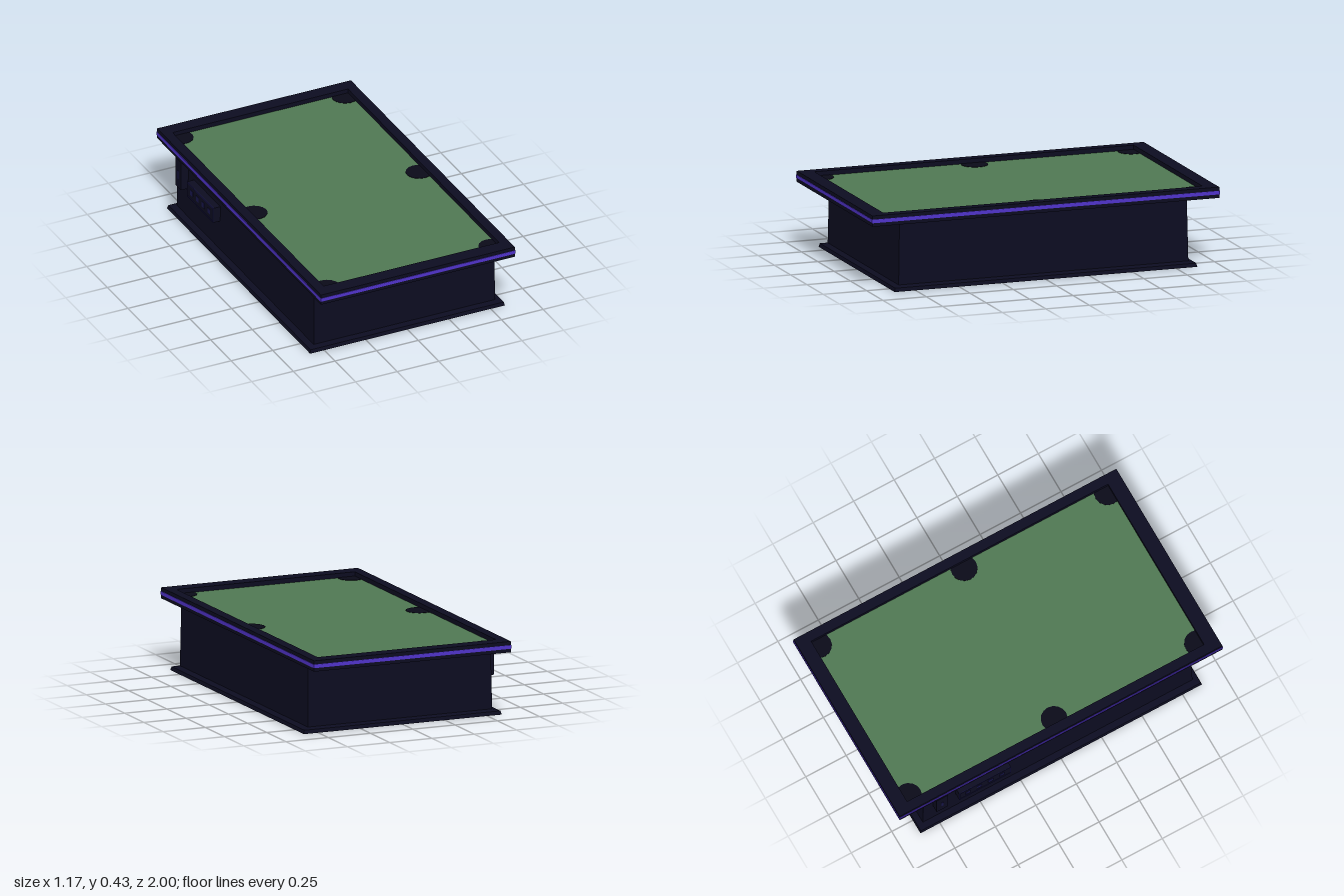
import * as THREE from 'three';

const mat = (name, color, side = THREE.FrontSide) =>
  Object.assign(new THREE.MeshStandardMaterial({ color, side }), { name });

export function createModel() {
  const dark = mat('midnight lacquer', 0x0c0c20);
  const black = mat('pocket black', 0x0a0a18);
  const purple = mat('purple trim', 0x4f32c8);
  const navy = mat('navy trim', 0x17154a);
  const green = mat('green cloth', 0x4f7852);

  const model = new THREE.Group();
  model.name = 'poolTable';
  const add = (name, geometry, material, x = 0, y = 0, z = 0) => {
    const mesh = new THREE.Mesh(geometry, material);
    mesh.name = name;
    mesh.position.set(x, y, z);
    model.add(mesh);
    return mesh;
  };
  const box = (name, material, w, h, d, x, y, z) =>
    add(name, new THREE.BoxGeometry(w, h, d), material, x, y, z);

  // Box from y0 to y1 whose half sizes differ at bottom and top
  const taperedBox = (name, material, y0, y1, bottom, top) => {
    const g = new THREE.BoxGeometry(2, 2, 2);
    const p = g.attributes.position;
    for (let i = 0; i < p.count; i++) {
      const up = p.getY(i) > 0;
      const [hx, hz] = up ? top : bottom;
      p.setXYZ(i, p.getX(i) * hx, up ? y1 : y0, p.getZ(i) * hz);
    }
    const flat = g.toNonIndexed();
    flat.computeVertexNormals();
    return add(name, flat, material);
  };

  // Plinth and cabinet
  taperedBox('plinth', dark, 0, 0.02, [0.585, 0.87], [0.58, 0.865]);
  taperedBox('plinthBevel', dark, 0.02, 0.028, [0.58, 0.865], [0.545, 0.833]);
  taperedBox('cabinet', dark, 0.026, 0.375, [0.545, 0.833], [0.54, 0.826]);

  // Rail frame around the playing field
  const rect = (C, x, z0, z1) => new C([
    new THREE.Vector2(-x, z0), new THREE.Vector2(x, z0),
    new THREE.Vector2(x, z1), new THREE.Vector2(-x, z1),
  ]);
  const frame = rect(THREE.Shape, 0.582, -0.997, 0.997);
  frame.holes.push(rect(THREE.Path, 0.527, -0.915, 0.92));
  const railGeometry = new THREE.ExtrudeGeometry(frame, { depth: 0.06, bevelEnabled: false });
  railGeometry.rotateX(-Math.PI / 2);
  add('rails', railGeometry, dark, 0, 0.37, 0);

  // Bed and cloth
  box('bed', dark, 1.06, 0.025, 1.84, 0, 0.3835, 0);
  box('cloth', green, 1.054, 0.008, 1.835, 0, 0.401, -0.0025);

  // Purple band around the rails
  for (const s of [-1, 1]) {
    box('sideBand', purple, 0.006, 0.02, 2, s * 0.582, 0.4, 0);
    box('endBand', purple, 1.17, 0.02, 0.006, 0, 0.4, s * 0.997);
  }

  // Pockets: discs trimmed by the rails
  for (const s of [-1, 1]) {
    for (const z of [-0.893, 0.007, 0.893]) {
      add('pocket', new THREE.CylinderGeometry(0.073, 0.073, 0.006, 16), black, s * 0.495, 0.404, z);
    }
  }

  // Coin slot and control panel on one long side
  box('coinBox', dark, 0.05, 0.17, 0.07, -0.56, 0.285, -0.735);
  box('coinSlot', navy, 0.004, 0.05, 0.012, -0.585, 0.28, -0.735);
  box('controlPanel', dark, 0.045, 0.09, 0.32, -0.56, 0.245, -0.47);
  for (const s of [-1, 1]) {
    box('panelEndTrim', navy, 0.004, 0.09, 0.006, -0.583, 0.245, -0.47 + s * 0.157);
    box('panelEdgeTrim', navy, 0.004, 0.006, 0.32, -0.583, 0.245 + s * 0.042, -0.47);
  }
  for (let i = 0; i < 4; i++) {
    box('panelButton', navy, 0.004, 0.03, 0.03, -0.583, 0.245, -0.575 + i * 0.07);
  }
  return model;
}
